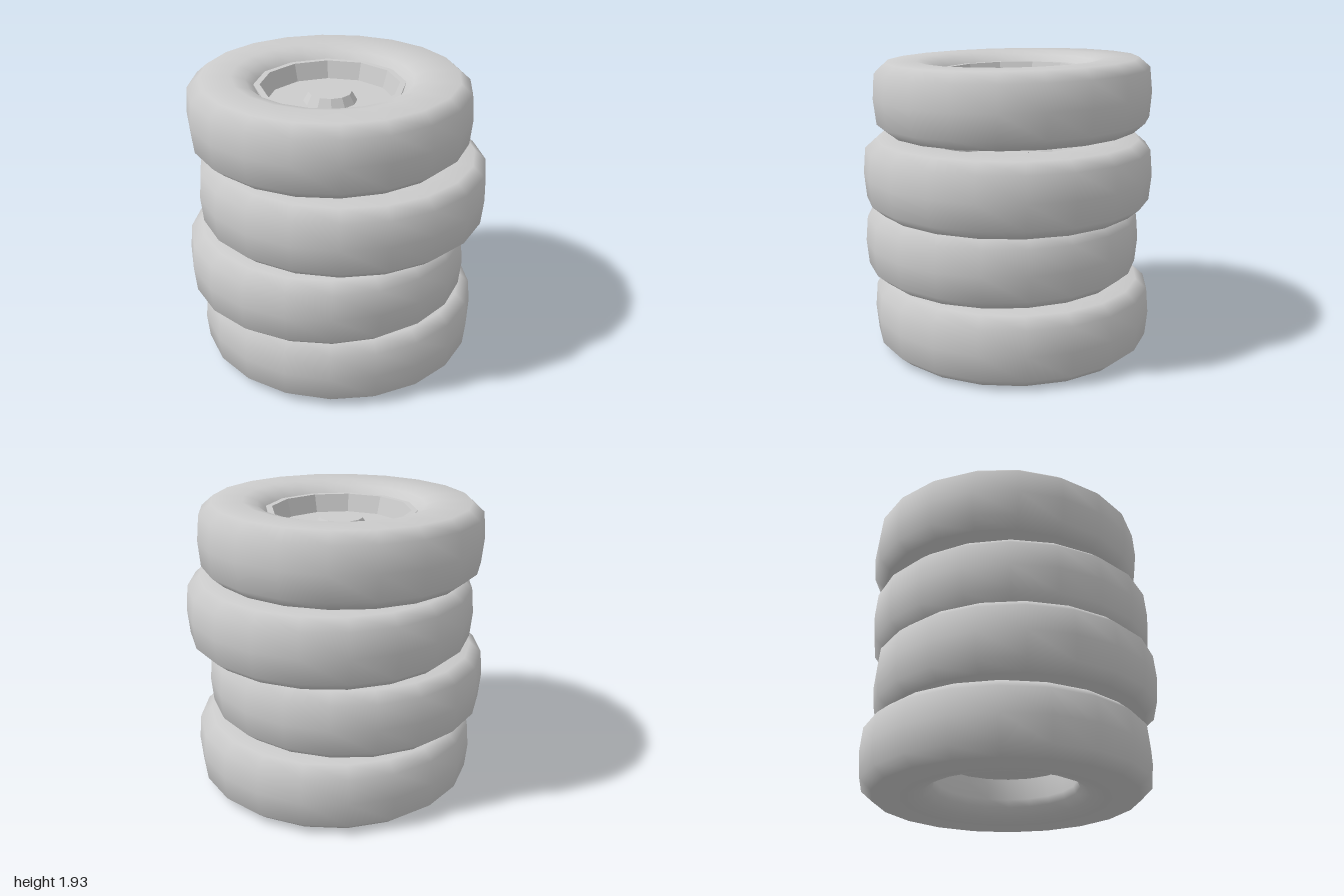
import * as THREE from 'three';

const HEIGHT = 0.46;

// One entry per tyre: centre, outer radius, turn about y, lean about x
const STACK = [
  { x: 0.005, y: 0.232, z: -0.02, radius: 0.948, turn: 0.0, lean: 0 },
  { x: -0.065, y: 0.71, z: 0.043, radius: 0.936, turn: 0.1, lean: 0 },
  { x: 0.04, y: 1.19, z: 0.012, radius: 0.957, turn: 0.03, lean: 0 },
  { x: -0.043, y: 1.69, z: -0.025, radius: 0.924, turn: 0.13, lean: 0.02 },
];

const toPoints = (list) => list.map(([r, y]) => new THREE.Vector2(r, y));

// Smooth rubber ring, a closed profile symmetric about its middle
function tyreGeometry(radius) {
  const h = HEIGHT / 2;
  const lower = [
    [0.46, -0.1], [0.475, -h + 0.08], [0.54, -h + 0.025], [0.63, -h],
    [radius - 0.09, -h], [radius - 0.015, -h + 0.065],
  ];
  const upper = lower.map(([r, y]) => [r, -y]).reverse();
  const profile = [[0.46, 0], ...lower, [radius, 0], ...upper, [0.46, 0]];
  return new THREE.LatheGeometry(toPoints(profile), 20);
}

// Faceted wheel: lip, sloping well, flat floor and raised hub
function rimGeometry() {
  const profile = [
    [0.46, 0.05], [0.49, 0.13], [0.49, 0.165], [0.45, 0.165],
    [0.415, 0.05], [0.175, 0.05], [0.14, 0.11], [0, 0.11],
  ];
  return new THREE.LatheGeometry(toPoints(profile), 12).toNonIndexed();
}

export function createModel() {
  const model = new THREE.Group();
  model.name = 'tyreStack';

  const rubber = new THREE.MeshStandardMaterial({ color: 0xcccccc });
  rubber.name = 'light grey';

  const rim = rimGeometry();
  rim.computeVertexNormals();

  // Plate closing the underside of each wheel
  const plate = new THREE.CircleGeometry(0.465, 20);
  plate.rotateX(Math.PI / 2);

  STACK.forEach((t, i) => {
    const wheel = new THREE.Group();
    wheel.name = `wheel${i + 1}`;
    wheel.position.set(t.x, t.y, t.z);
    wheel.rotation.set(t.lean, 0, 0);

    const tyre = new THREE.Mesh(tyreGeometry(t.radius), rubber);
    tyre.name = 'tyre';
    tyre.rotation.y = t.turn;

    const rimMesh = new THREE.Mesh(rim, rubber);
    rimMesh.name = 'rim';
    rimMesh.rotation.y = 0.1;

    const back = new THREE.Mesh(plate, rubber);
    back.name = 'rimBackPlate';
    back.position.y = 0.045;

    wheel.add(tyre, rimMesh, back);
    model.add(wheel);
  });

  return model;
}
